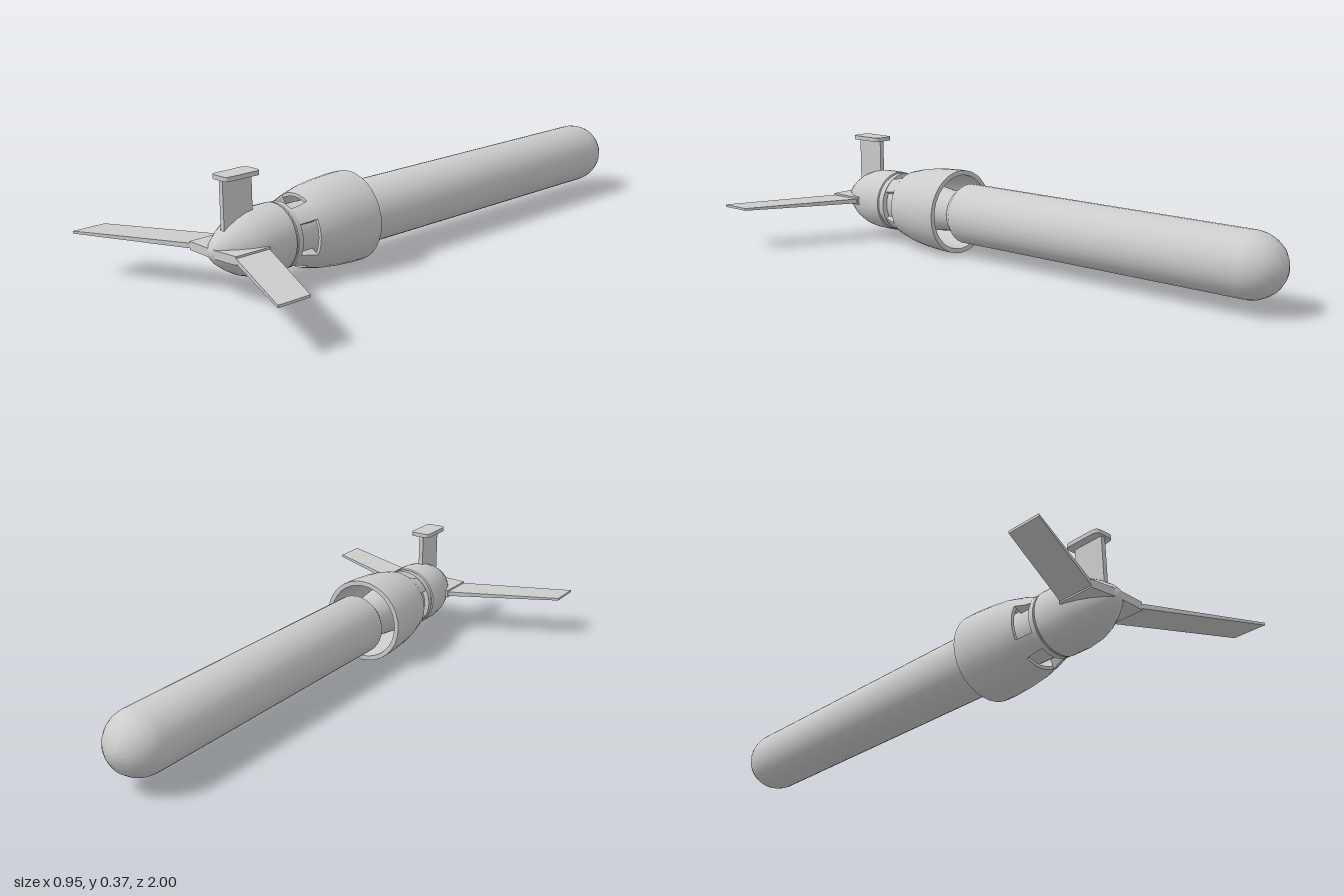
import * as THREE from 'three';
import { toCreasedNormals } from 'three/addons/utils/BufferGeometryUtils.js';

const AXIS = 0.15; // height of the body's centre line

export function createModel() {
  const model = new THREE.Group();
  const material = new THREE.MeshStandardMaterial({ color: 0xcccccc, side: THREE.DoubleSide });

  function add(name, geometry, parent = model) {
    const mesh = new THREE.Mesh(toCreasedNormals(geometry, 0.6), material);
    mesh.name = name;
    parent.add(mesh);
    return mesh;
  }

  // Turned part along z; profile points are [radius, z], listed back to front
  function turned(name, profile, segments = 32, start = 0, length = Math.PI * 2) {
    const points = profile.map(([r, z]) => new THREE.Vector2(r, z));
    const geometry = new THREE.LatheGeometry(points, segments, start, length);
    geometry.rotateX(Math.PI / 2);
    geometry.translate(0, AXIS, 0);
    return add(name, geometry);
  }

  // Long rear tube with a domed tail and a chamfered front
  turned('tailTube', [
    [0, -1], [0.025, -0.995], [0.05, -0.983], [0.073, -0.965], [0.09, -0.94],
    [0.1, -0.915], [0.104, -0.89], [0.104, 0.25], [0.085, 0.278], [0.07, 0.285], [0, 0.285],
  ]);

  // Inner core joining tube and nose
  turned('core', [[0.072, 0.27], [0.072, 0.34], [0.086, 0.45], [0.088, 0.6]]);

  // Hollow cowl, open at the back and at the four front intakes
  turned('cowl', [
    [0.107, 0.52], [0.122, 0.4], [0.13, 0.29], [0.146, 0.29], [0.146, 0.33],
    [0.141, 0.4], [0.133, 0.46], [0.118, 0.52], [0.107, 0.52],
  ]);

  // Webs between the intakes
  for (let i = 0; i < 4; i++) {
    turned('intakeWeb', [
      [0.088, 0.52], [0.118, 0.52], [0.106, 0.555], [0.101, 0.585], [0.088, 0.585],
    ], 6, i * Math.PI / 2 + 0.5, Math.PI / 2 - 1);
    // Side walls closing each web
    for (const angle of [0.5, Math.PI / 2 - 0.5]) {
      const wall = new THREE.Shape([[0.086, 0.52], [0.118, 0.52], [0.106, 0.555], [0.101, 0.585], [0.086, 0.585]]
        .map(([r, z]) => new THREE.Vector2(r, z)));
      const geometry = new THREE.ShapeGeometry(wall);
      geometry.rotateY(angle + i * Math.PI / 2 - Math.PI / 2);
      geometry.rotateX(Math.PI / 2);
      geometry.translate(0, AXIS, 0);
      add('intakeWall', geometry);
    }
  }

  // Nose with a narrow groove behind it
  turned('nose', [
    [0.086, 0.575], [0.104, 0.578], [0.104, 0.596], [0.101, 0.598], [0.101, 0.603], [0.106, 0.605],
    [0.106, 0.67], [0.1, 0.715], [0.086, 0.755], [0.066, 0.79], [0.04, 0.825], [0.02, 0.843], [0, 0.849],
  ]);

  // Forward-swept blade: sections run from root to tip
  function bladeGeometry(side) {
    const sections = [
      { x: 0.1, back: 0.71, front: 0.835, t: 0.008 },
      { x: 0.475, back: 0.887, front: 1, t: 0.004 },
    ];
    const positions = [];
    for (const { x, back, front, t } of sections) {
      for (const [z, y] of [[back, -t], [front, -t], [front, t], [back, t]]) {
        positions.push(side * x, AXIS + y, z);
      }
    }
    const index = [];
    const quad = (a, b, c, d) => index.push(...(side > 0 ? [a, d, c, a, c, b] : [a, b, c, a, c, d]));
    for (let i = 0; i < 4; i++) {
      const j = (i + 1) % 4;
      quad(i, i + 4, j + 4, j);
    }
    quad(0, 1, 2, 3);
    quad(7, 6, 5, 4);
    const geometry = new THREE.BufferGeometry();
    geometry.setAttribute('position', new THREE.Float32BufferAttribute(positions, 3));
    geometry.setIndex(index);
    geometry.computeVertexNormals();
    return geometry;
  }

  // Wings and their thick root blocks
  for (const side of [1, -1]) {
    const wing = new THREE.Group();
    wing.name = side > 0 ? 'leftWing' : 'rightWing';
    model.add(wing);
    add('wingBlade', bladeGeometry(side), wing);
    const root = new THREE.Shape();
    root.moveTo(0, 0.7);
    root.lineTo(side * 0.108, 0.71);
    root.lineTo(side * 0.108, 0.838);
    root.lineTo(side * 0.02, 0.844);
    root.lineTo(0, 0.844);
    const rootGeometry = new THREE.ExtrudeGeometry(root, { depth: 0.027, bevelEnabled: false });
    rootGeometry.rotateX(Math.PI / 2);
    rootGeometry.translate(0, AXIS + 0.014, 0);
    add('wingRoot', rootGeometry, wing);
  }

  // Top pylon with a rounded cap plate
  const pylon = new THREE.BoxGeometry(0.016, 0.165, 0.108);
  pylon.translate(0, 0.282, 0.745);
  add('pylon', pylon);

  const w = 0.036, h = 0.065, r = 0.016;
  const plate = new THREE.Shape();
  plate.absarc(w - r, h - r, r, 0, Math.PI / 2);
  plate.absarc(r - w, h - r, r, Math.PI / 2, Math.PI);
  plate.absarc(r - w, r - h, r, Math.PI, Math.PI * 1.5);
  plate.absarc(w - r, r - h, r, Math.PI * 1.5, Math.PI * 2);
  const cap = new THREE.ExtrudeGeometry(plate, { depth: 0.014, bevelEnabled: false, curveSegments: 4 });
  cap.rotateX(Math.PI / 2);
  cap.translate(0, 0.376, 0.742);
  add('pylonCap', cap);

  return model;
}
